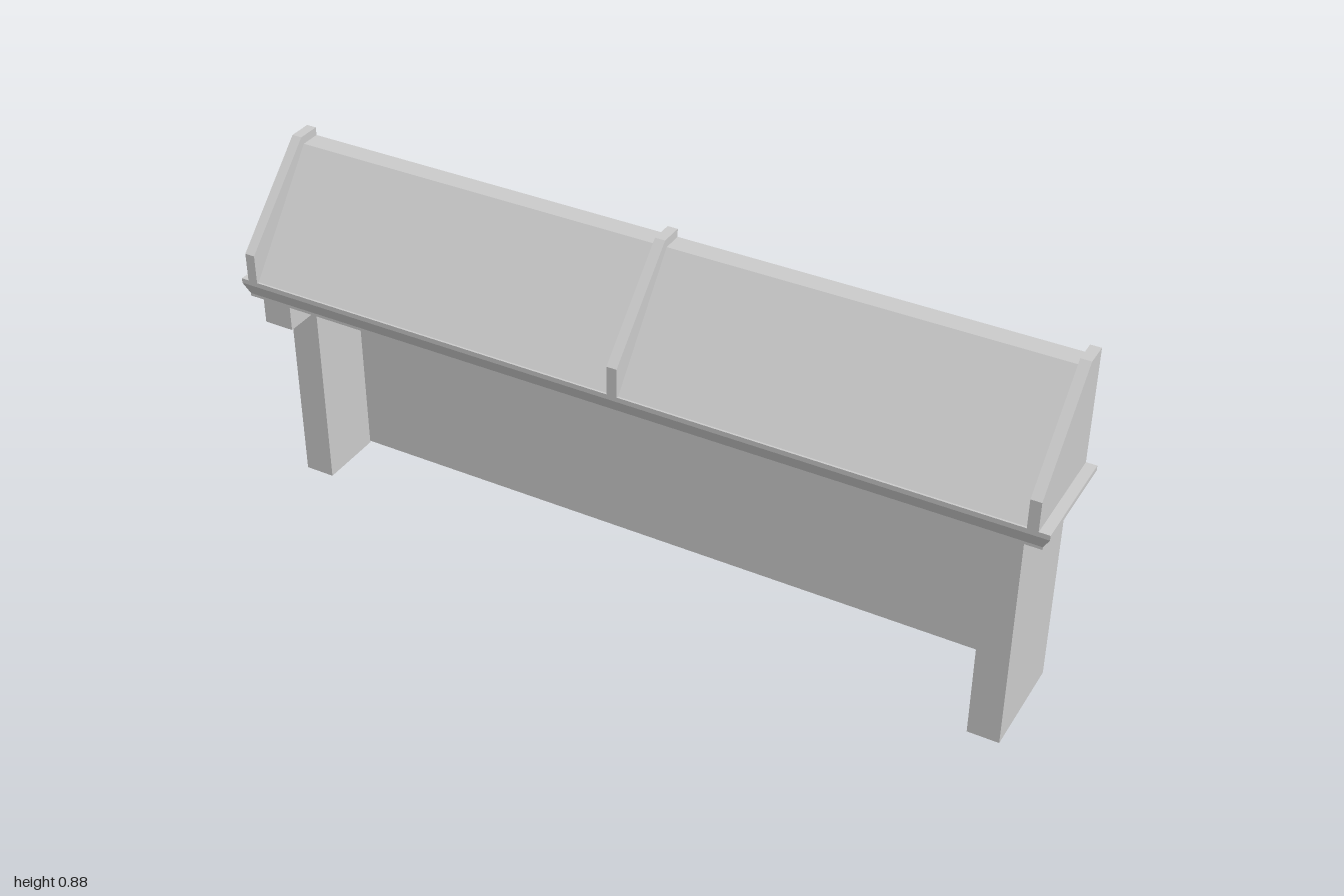
import * as THREE from 'three';

const grey = new THREE.MeshStandardMaterial({ color: 0xcccccc, side: THREE.DoubleSide });
grey.name = 'plain grey';

const BACK = -0.135, FRONT = 0.125, TOP = 0.55;

function addMesh(parent, name, geometry) {
  const mesh = new THREE.Mesh(geometry, grey);
  mesh.name = name;
  parent.add(mesh);
}

// Flat-shaded sheet joining consecutive cross-sections of [x, y, z] points
function loft(sections) {
  const pos = [];
  for (let i = 0; i + 1 < sections.length; i++) {
    const a = sections[i], b = sections[i + 1];
    for (let j = 0; j + 1 < a.length; j++) {
      pos.push(...a[j], ...a[j + 1], ...b[j + 1], ...a[j], ...b[j + 1], ...b[j]);
    }
  }
  const g = new THREE.BufferGeometry();
  g.setAttribute('position', new THREE.Float32BufferAttribute(pos, 3));
  g.computeVertexNormals();
  return g;
}

// Sheet with a [z, y] profile running from x0 to x1
const strip = (profile, x0, x1) =>
  loft([x0, x1].map(x => profile.map(([z, y]) => [x, y, z])));

// Upright sheet following an [x, z] plan from y0 to y1
const wall = (plan, y0, y1) =>
  loft([y1, y0].map(y => plan.map(([x, z]) => [x, y, z])));

// Flat plate in the z-y plane at a given x
function sidePlate(points, x) {
  const shape = new THREE.Shape(points.map(([z, y]) => new THREE.Vector2(z, y)));
  return new THREE.ShapeGeometry(shape).rotateY(-Math.PI / 2).translate(x, 0, 0);
}

export function createModel() {
  const model = new THREE.Group();
  model.name = 'displayCounter';

  // Back panel with three shallow recesses, the last open at its top and outer end
  const recesses = [[0.42, 0.87, 0.42, 0.49], [-0.11, 0.35, 0.42, 0.49]];
  const low = [-0.875, -0.175, 0.465, TOP];
  const panel = new THREE.Shape([
    [-0.875, 0.005], [0.87, 0.005], [0.87, TOP], [low[1], TOP], [low[1], low[2]], [low[0], low[2]],
  ].map(p => new THREE.Vector2(...p)));
  // Inset the end recess slightly so that the hole stays inside the outline
  recesses[0][1] = 0.865;
  for (const [x0, x1, y0, y1] of recesses) {
    panel.holes.push(new THREE.Path([[x0, y0], [x0, y1], [x1, y1], [x1, y0]].map(p => new THREE.Vector2(...p))));
  }
  addMesh(model, 'backPanel', new THREE.ShapeGeometry(panel).translate(0, 0, BACK));

  const inner = BACK + 0.025;
  for (const [x0, x1, y0, y1] of [...recesses, low]) {
    const rim = z => [[x0, y0, z], [x1, y0, z], [x1, y1, z], [x0, y1, z], [x0, y0, z]];
    addMesh(model, 'recessSides', loft([rim(BACK), rim(inner)]));
    addMesh(model, 'recessWall', strip([[inner, y0], [inner, y1]], x0, x1));
  }

  // Hollow end legs, open at the back and the bottom
  addMesh(model, 'rightEndLeg',
    wall([[0.87, BACK], [0.87, FRONT], [0.945, FRONT], [0.945, BACK]], 0.005, TOP));
  addMesh(model, 'leftEndLeg',
    wall([[-0.875, BACK], [-0.875, 0.03], [-0.95, 0.03], [-0.95, BACK]], 0, TOP));

  // Short box under the counter in front of the set-back leg
  const box = new THREE.BoxGeometry(0.075, 0.063, 0.095).translate(-0.9125, 0.5185, 0.0775);
  addMesh(model, 'counterBracket', box);

  // Counter tray with a flared rim, open at the back
  const ring = (w, z, y) => [[-w, y, BACK], [-w, y, z], [w, y, z], [w, y, BACK]];
  addMesh(model, 'counterRim', loft([
    ring(0.985, 0.127, TOP), ring(0.985, 0.127, 0.557), ring(1, 0.135, 0.585),
    ring(1, 0.135, 0.597), ring(0.975, 0.13, 0.597),
  ]));
  addMesh(model, 'counterFloor', strip([[BACK, TOP], [0.127, TOP]], -0.985, 0.985));

  // Sloping hood panels
  const hood = [[BACK, 0.86], [-0.085, 0.86], [0.13, 0.597]];
  for (const [x0, x1] of [[-0.955, -0.015], [0.01, 0.95]]) {
    addMesh(model, 'hoodPanel', strip(hood, x0, x1));
  }

  // Hollow ribs standing proud of the hood
  const crest = [[BACK, 0.88], [-0.078, 0.88], [0.136, 0.67], [0.136, 0.597]];
  const band = [...crest, ...hood.slice().reverse()];
  const full = [...crest, [BACK, 0.597]];
  const ribs = [[-0.98, -0.955, full, band], [-0.015, 0.01, band, band], [0.95, 0.975, band, full]];
  for (const [x0, x1, leftSide, rightSide] of ribs) {
    const rib = new THREE.Group();
    rib.name = 'hoodRib';
    addMesh(rib, 'ribCrest', strip(crest, x0, x1));
    addMesh(rib, 'ribSide', sidePlate(leftSide, x0));
    addMesh(rib, 'ribSide', sidePlate(rightSide, x1));
    model.add(rib);
  }

  return model;
}
